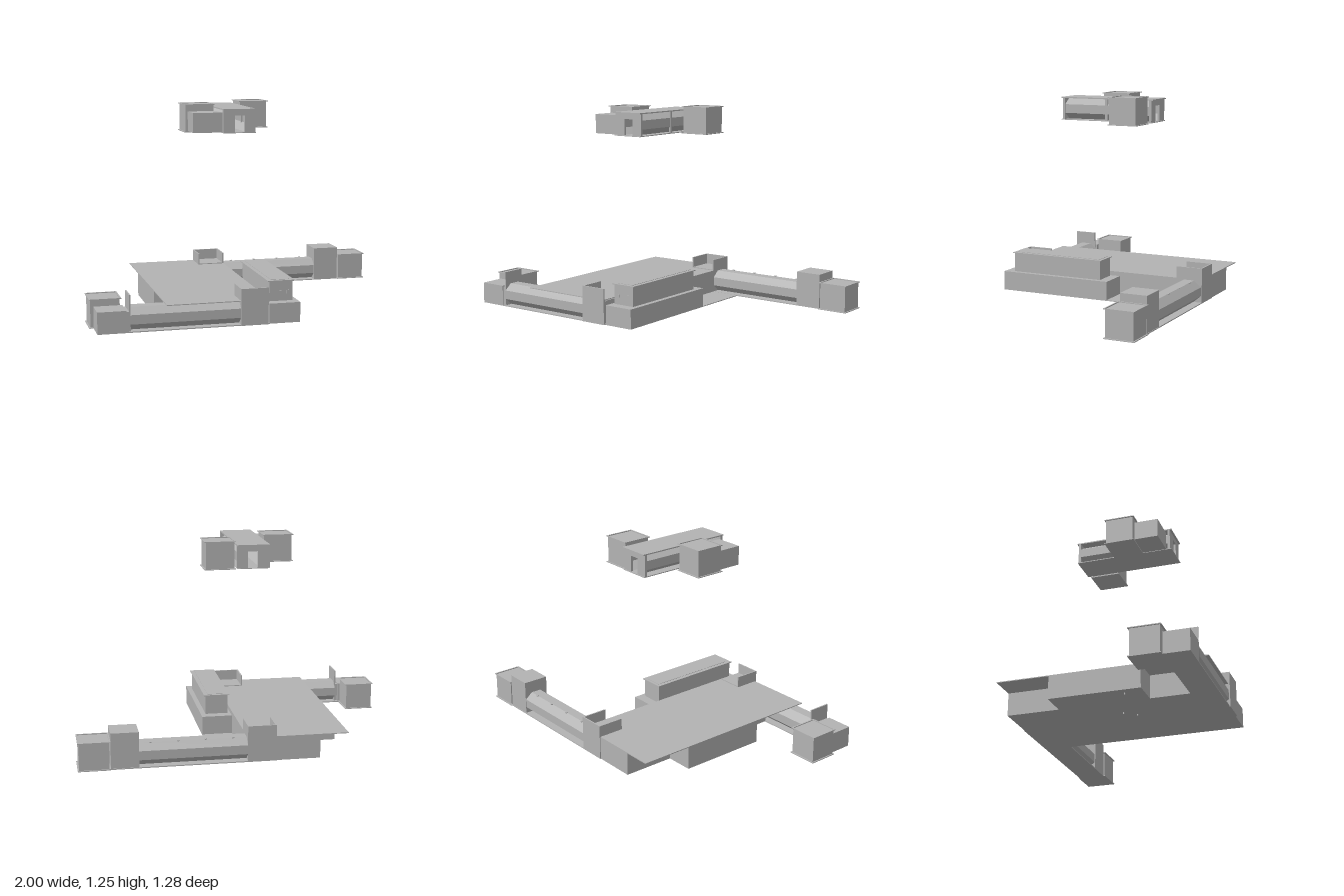
import * as THREE from 'three';

export function createModel() {
  const model = new THREE.Group();
  const grey = new THREE.MeshStandardMaterial({ color: 0xb3b3b3, side: THREE.DoubleSide });
  grey.name = 'concrete grey';

  function add(name, geometry, parent = model) {
    const mesh = new THREE.Mesh(geometry, grey);
    mesh.name = name;
    parent.add(mesh);
    return mesh;
  }

  // box given by its lower and upper limits on each axis
  function box(name, x0, x1, y0, y1, z0, z1, parent = model) {
    const mesh = add(name, new THREE.BoxGeometry(x1 - x0, y1 - y0, z1 - z0), parent);
    mesh.position.set((x0 + x1) / 2, (y0 + y1) / 2, (z0 + z1) / 2);
    return mesh;
  }

  // cubic room with slightly wider floor and roof plates and a thin roof rim
  function room(name, x0, x1, y0, y1, z0, z1) {
    const g = new THREE.Group();
    g.name = name;
    model.add(g);
    const i = 0.008, t = 0.005;
    box('roomWalls', x0 + i, x1 - i, y0 + t, y1 - t, z0 + i, z1 - i, g);
    box('roomFloor', x0, x1, y0, y0 + t, z0, z1, g);
    box('roomRoof', x0 + i, x1 - i, y1 - 2 * t, y1 - t, z0 + i, z1 - i, g);
    box('roofRim', x0, x1, y1 - t, y1, z0, z0 + i, g);
    box('roofRim', x0, x1, y1 - t, y1, z1 - i, z1, g);
    box('roofRim', x0, x0 + i, y1 - t, y1, z0, z1, g);
    box('roofRim', x1 - i, x1, y1 - t, y1, z0, z1, g);
  }

  // hollow eight-sided passage running along x or z
  function passage(name, length, height, width, x, y, z, alongZ = false) {
    const r = 0.5 / Math.cos(Math.PI / 8);
    const geometry = new THREE.CylinderGeometry(r, r, length, 8, 1, true)
      .toNonIndexed();
    geometry.rotateY(Math.PI / 8);
    geometry.rotateZ(Math.PI / 2);
    geometry.scale(1, height, width);
    if (alongZ) geometry.rotateY(Math.PI / 2);
    geometry.computeVertexNormals();
    add(name, geometry).position.set(x, y, z);
  }

  // stair tower: solid lower part, parapet walls on the chosen sides
  function tower(name, x0, x1, z0, z1, sides) {
    const g = new THREE.Group();
    g.name = name;
    model.add(g);
    const t = 0.008, low = 0.16, top = 0.225;
    box('towerBody', x0, x1, 0.01, low, z0, z1, g);
    if (sides.includes('front')) box('parapet', x0, x1, low, top, z1 - t, z1, g);
    if (sides.includes('back')) box('parapet', x0, x1, low, top, z0, z0 + t, g);
    if (sides.includes('west')) box('parapet', x0, x0 + t, low, top, z0, z1, g);
    if (sides.includes('east')) box('parapet', x1 - t, x1, low, top, z0, z1, g);
  }

  // main hall
  box('hallRoof', -0.58, 0.02, 0.15, 0.155, -0.63, 0.63);
  box('hallCentre', -0.58, 0.02, 0.01, 0.15, -0.31, 0.24);
  box('hallBack', -0.41, 0.02, 0.01, 0.15, -0.63, -0.31);
  box('hallFront', -0.41, 0.02, 0.01, 0.15, 0.24, 0.48);
  box('eastFloor', 0.02, 0.205, 0.01, 0.015, -0.63, -0.09);
  box('roofSlot', -0.15, -0.142, 0.155, 0.157, 0.5, 0.57);

  // east wing with raised gallery
  box('eastWing', 0.02, 0.205, 0.01, 0.128, -0.09, 0.63);
  box('galleryWalls', 0.035, 0.175, 0.128, 0.245, -0.03, 0.57);
  box('galleryRoof', 0.025, 0.185, 0.245, 0.25, -0.04, 0.578);
  box('galleryPanel', 0.05, 0.16, 0.25, 0.252, -0.02, 0.555);
  for (const x of [0.065, 0.105, 0.145]) {
    box('galleryWindow', x - 0.008, x + 0.008, 0.17, 0.19, 0.57, 0.573);
  }

  // front passage and its end rooms
  box('frontFloor', -0.975, 0.02, 0.01, 0.016, 0.475, 0.635);
  passage('frontPassage', 0.64, 0.13, 0.155, -0.47, 0.083, 0.555);
  tower('frontTower', -0.15, 0.012, 0.48, 0.64, ['front', 'west']);
  box('westScreen', -0.795, -0.787, 0.01, 0.225, 0.49, 0.63);
  box('westVestibule', -0.975, -0.81, 0.01, 0.137, 0.485, 0.635);
  box('westLink', -0.81, -0.79, 0.01, 0.13, 0.5, 0.63);
  room('westRoom', -1, -0.815, 0.01, 0.178, 0.3, 0.485);

  // back passage and its end rooms
  box('backFloor', 0.02, 0.82, 0.01, 0.016, -0.635, -0.47);
  passage('backPassage', 0.64, 0.13, 0.155, 0.335, 0.083, -0.552);
  tower('backTower', -0.15, 0.02, -0.635, -0.47, ['back', 'west', 'east']);
  box('eastTower', 0.65, 0.812, 0.01, 0.225, -0.632, -0.47);
  room('eastRoom', 0.812, 1, 0.01, 0.178, -0.642, -0.458);

  // lamps along the back passage
  for (const x of [0.1, 0.26, 0.42, 0.58]) {
    box('passageLamp', x - 0.006, x + 0.006, 0.145, 0.151, -0.592, -0.58);
  }
  // feet under the slabs
  for (const [x, z] of [[-0.53, 0.13], [-0.25, 0.03], [-0.2, 0.1]]) {
    box('foot', x - 0.005, x + 0.005, 0, 0.01, z - 0.003, z + 0.003);
  }

  // upper building: floor, roof, glazed passage and end walls with a doorway
  box('upperFloor', -0.17, 0.025, 1.085, 1.09, -0.305, 0.31);
  box('upperRoof', -0.17, 0.025, 1.22, 1.227, -0.31, 0.31);
  passage('upperPassage', 0.57, 0.13, 0.19, -0.0725, 1.155, 0, true);
  const wall = new THREE.Shape([
    [-0.17, 1.09], [-0.1, 1.09], [-0.1, 1.187], [-0.04, 1.187],
    [-0.04, 1.09], [0.025, 1.09], [0.025, 1.22], [-0.17, 1.22],
  ].map(([x, y]) => new THREE.Vector2(x, y)));
  for (const z of [-0.3, 0.285]) {
    add('upperEndWall', new THREE.ExtrudeGeometry(wall, { depth: 0.015, bevelEnabled: false }))
      .position.z = z;
  }
  for (const x of [-0.165, 0.02]) {
    box('upperPost', x - 0.005, x + 0.005, 1.09, 1.22, -0.008, 0.008);
  }
  room('upperEastRoom', 0.03, 0.215, 1.08, 1.247, -0.288, -0.1);
  room('upperWestRoom', -0.365, -0.178, 1.08, 1.247, -0.06, 0.127);
  box('upperVestibule', -0.345, -0.17, 1.088, 1.205, 0.127, 0.275);

  return model;
}
